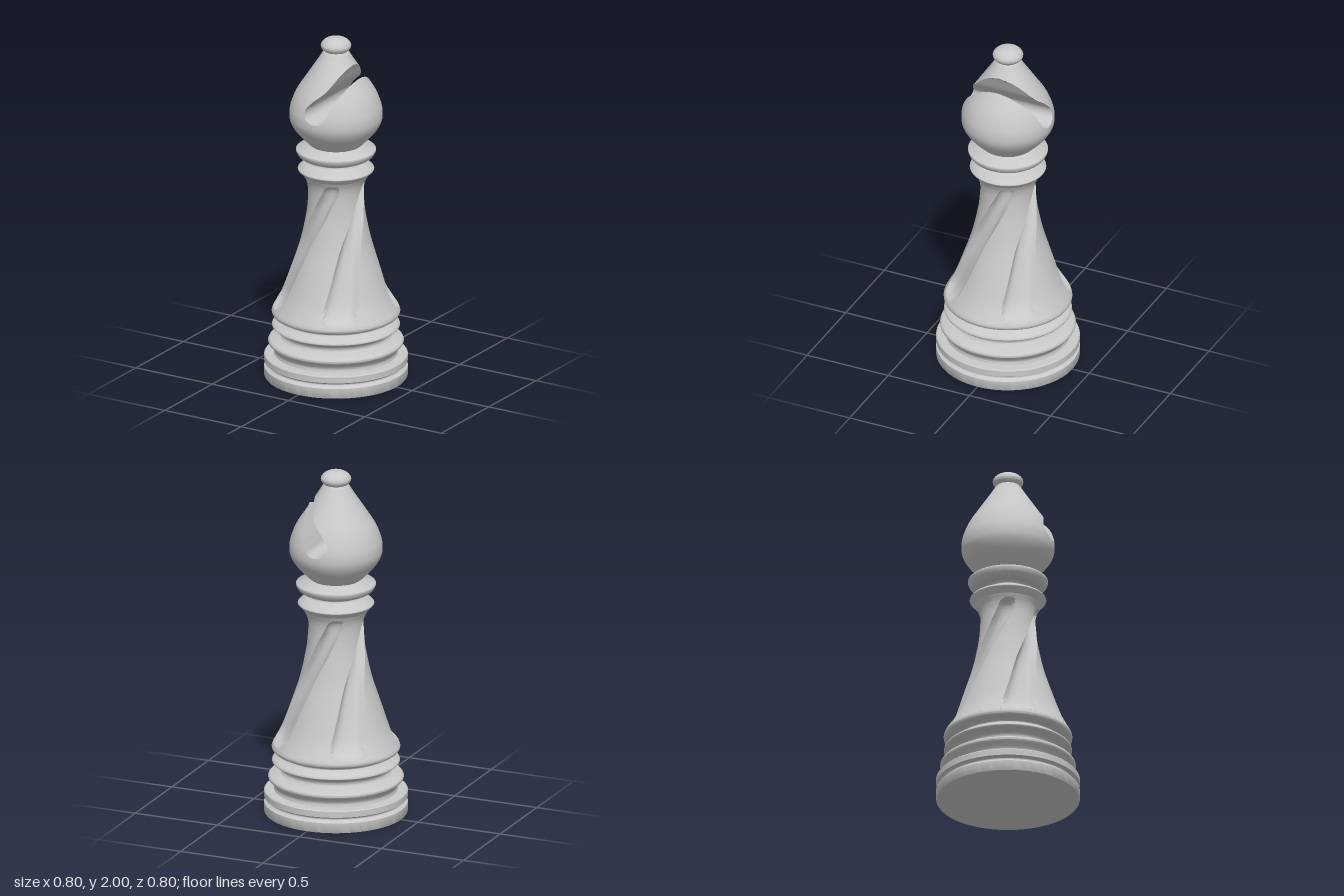
import * as THREE from 'three';
import { toCreasedNormals } from 'three/addons/utils/BufferGeometryUtils.js';

const vectors = (list) => list.map(([x, y]) => new THREE.Vector2(x, y));
const spline = (list, n) => new THREE.SplineCurve(vectors(list)).getPoints(n);

// Join profile sections: two points make a straight edge, more make a curve
function profile(sections) {
  const out = [];
  for (const s of sections) {
    for (const p of s.length > 2 ? spline(s, s.length * 4) : vectors(s)) {
      if (!out.length || out[out.length - 1].distanceTo(p) > 1e-4) out.push(p);
    }
  }
  return out;
}

const turned = (sections) =>
  toCreasedNormals(new THREE.LatheGeometry(profile(sections), 96), 0.6);

// Radius of a sampled profile at height y
function radiusAt(points, y) {
  for (let i = 1; i < points.length; i++) {
    const a = points[i - 1], b = points[i];
    if (y >= a.y && y <= b.y) return a.x + (b.x - a.x) * (y - a.y) / (b.y - a.y || 1);
  }
  return 0;
}

// Tapered shaft with four twisting scooped flutes; columns follow the twist
function shaftGeometry() {
  const prof = spline([[0.352, 0.4], [0.335, 0.43], [0.3, 0.5], [0.254, 0.626], [0.202, 0.785],
    [0.17, 0.93], [0.158, 1.02], [0.156, 1.1], [0.164, 1.15], [0.182, 1.188]], 200);
  const twist = spline([[-54, 0.39], [-52, 0.5], [-34, 0.785], [-2, 1.0], [17, 1.1], [29, 1.2]], 100);
  const cols = 192, rows = 120, pos = [], idx = [];
  for (let j = 0; j <= rows; j++) {
    const y = 0.4 + 0.788 * j / rows;
    const r0 = radiusAt(prof, Math.min(y, 1.1879));
    const turn = THREE.MathUtils.degToRad(radiusAt(twist, y));
    const along = Math.abs(y - 0.787) / 0.378;
    for (let i = 0; i < cols; i++) {
      const u = i / cols * Math.PI * 2;
      const quarter = Math.PI / 2;
      const across = Math.abs(u - Math.round(u / quarter) * quarter) / 0.305;
      const inside = Math.max(0, 1 - across ** 2.6 - along ** 16);
      const r = r0 - 0.046 * Math.sqrt(inside);
      pos.push(r * Math.sin(u + turn), y, r * Math.cos(u + turn));
      if (j < rows) {
        const a = j * cols + i, b = j * cols + (i + 1) % cols;
        idx.push(a, b, b + cols, a, b + cols, a + cols);
      }
    }
  }
  const g = new THREE.BufferGeometry();
  g.setAttribute('position', new THREE.Float32BufferAttribute(pos, 3));
  g.setIndex(idx);
  return toCreasedNormals(g, 0.6);
}

// Signed distance from the closed slot outline, negative inside
function slotDistance(outline, x, y) {
  let best = Infinity, inside = false;
  for (let i = 0, j = outline.length - 1; i < outline.length; j = i++) {
    const a = outline[j], b = outline[i];
    const dx = b.x - a.x, dy = b.y - a.y;
    const t = THREE.MathUtils.clamp(((x - a.x) * dx + (y - a.y) * dy) / (dx * dx + dy * dy), 0, 1);
    best = Math.min(best, Math.hypot(x - a.x - t * dx, y - a.y - t * dy));
    if ((a.y > y) !== (b.y > y) && x < a.x + (y - a.y) * dx / dy) inside = !inside;
  }
  return inside ? -best : best;
}

// Turned surface with everything inside the slot outline trimmed away
function trimmedHead(points, outline) {
  const g = new THREE.LatheGeometry(points, 144).toNonIndexed();
  const P = g.attributes.position, N = g.attributes.normal, pos = [], nor = [];
  for (let t = 0; t < P.count; t += 3) {
    const tri = [0, 1, 2].map((k) => {
      const p = new THREE.Vector3().fromBufferAttribute(P, t + k);
      const n = new THREE.Vector3().fromBufferAttribute(N, t + k);
      return { p, n, d: slotDistance(outline, p.x, p.y) };
    });
    const kept = [];
    tri.forEach((a, k) => {
      const b = tri[(k + 1) % 3];
      if (a.d >= 0) kept.push(a);
      if ((a.d >= 0) !== (b.d >= 0)) {
        const s = a.d / (a.d - b.d);
        kept.push({ p: a.p.clone().lerp(b.p, s), n: a.n.clone().lerp(b.n, s).normalize() });
      }
    });
    for (let k = 2; k < kept.length; k++) {
      for (const v of [kept[0], kept[k - 1], kept[k]]) {
        pos.push(...v.p.toArray());
        nor.push(...v.n.toArray());
      }
    }
  }
  const out = new THREE.BufferGeometry();
  out.setAttribute('position', new THREE.Float32BufferAttribute(pos, 3));
  out.setAttribute('normal', new THREE.Float32BufferAttribute(nor, 3));
  return out;
}

// Slot walls: each outline point spans the head from back to front
function slotWalls(points, outline) {
  const pos = [], idx = [];
  outline.forEach((p, i) => {
    const z = Math.sqrt(Math.max(0, radiusAt(points, p.y) ** 2 - p.x ** 2));
    pos.push(p.x, p.y, -z, p.x, p.y, z);
    const a = 2 * i;
    if (i < outline.length - 1) idx.push(a, a + 1, a + 2, a + 1, a + 3, a + 2);
  });
  const g = new THREE.BufferGeometry();
  g.setAttribute('position', new THREE.Float32BufferAttribute(pos, 3));
  g.setIndex(idx);
  g.computeVertexNormals();
  return g;
}

export function createModel() {
  const model = new THREE.Group();
  model.name = 'chessBishop';
  const grey = new THREE.MeshStandardMaterial({ color: 0xc8c8c8 });
  grey.name = 'light grey';
  const add = (name, geometry) => {
    const mesh = new THREE.Mesh(geometry, grey);
    mesh.name = name;
    model.add(mesh);
  };

  // Foot and stacked base mouldings
  add('base', turned([
    [[0, 0], [0.396, 0]], [[0.396, 0], [0.4, 0.006]], [[0.4, 0.006], [0.4, 0.058]],
    [[0.4, 0.058], [0.385, 0.068], [0.38, 0.076], [0.386, 0.085], [0.4, 0.092]],
    [[0.4, 0.092], [0.4, 0.126]], [[0.4, 0.126], [0.394, 0.132]], [[0.394, 0.132], [0.345, 0.135]],
    [[0.345, 0.135], [0.342, 0.155], [0.356, 0.178], [0.374, 0.195]],
    [[0.374, 0.195], [0.378, 0.206], [0.373, 0.217], [0.36, 0.224]],
    [[0.36, 0.224], [0.31, 0.234]],
    [[0.31, 0.234], [0.3, 0.25], [0.307, 0.27], [0.335, 0.287]],
    [[0.335, 0.287], [0.353, 0.295], [0.355, 0.306], [0.34, 0.318]],
    [[0.34, 0.318], [0.31, 0.333], [0.306, 0.345], [0.325, 0.355]],
    [[0.325, 0.355], [0.35, 0.365], [0.358, 0.382], [0.352, 0.4]],
  ]));

  add('flutedShaft', shaftGeometry());

  // Two collars below the head
  add('collars', turned([
    [[0.182, 1.188], [0.196, 1.203], [0.209, 1.216]],
    [[0.209, 1.216], [0.213, 1.224], [0.205, 1.234]],
    [[0.205, 1.234], [0.165, 1.25]],
    [[0.165, 1.25], [0.145, 1.258], [0.137, 1.27], [0.145, 1.281]],
    [[0.145, 1.281], [0.185, 1.29], [0.21, 1.307], [0.222, 1.328]],
    [[0.222, 1.328], [0.223, 1.338], [0.216, 1.345]],
    [[0.216, 1.345], [0.155, 1.354]], [[0.155, 1.354], [0.14, 1.366]],
  ]));

  // Onion head with a slanted slot cut right through
  const headProfile = spline([[0.14, 1.366], [0.163, 1.386], [0.222, 1.45], [0.252, 1.5],
    [0.26, 1.545], [0.253, 1.6], [0.222, 1.68], [0.167, 1.767], [0.097, 1.873], [0.076, 1.908],
    [0.066, 1.92]], 80);
  const slot = spline([[0.18, 1.95], [0.108, 1.845], [0.05, 1.737], [-0.01, 1.68], [-0.052, 1.628],
    [-0.045, 1.582], [0.008, 1.555], [0.06, 1.567], [0.082, 1.612], [0.1, 1.66], [0.153, 1.777],
    [0.215, 1.91]], 160);
  add('head', trimmedHead(headProfile, slot));
  add('headSlot', slotWalls(headProfile, slot));

  // Finial knob
  add('knob', turned([
    [[0.066, 1.92], [0.075, 1.928], [0.084, 1.943], [0.083, 1.96], [0.067, 1.98], [0.036, 1.995], [0, 2]],
  ]));

  return model;
}
